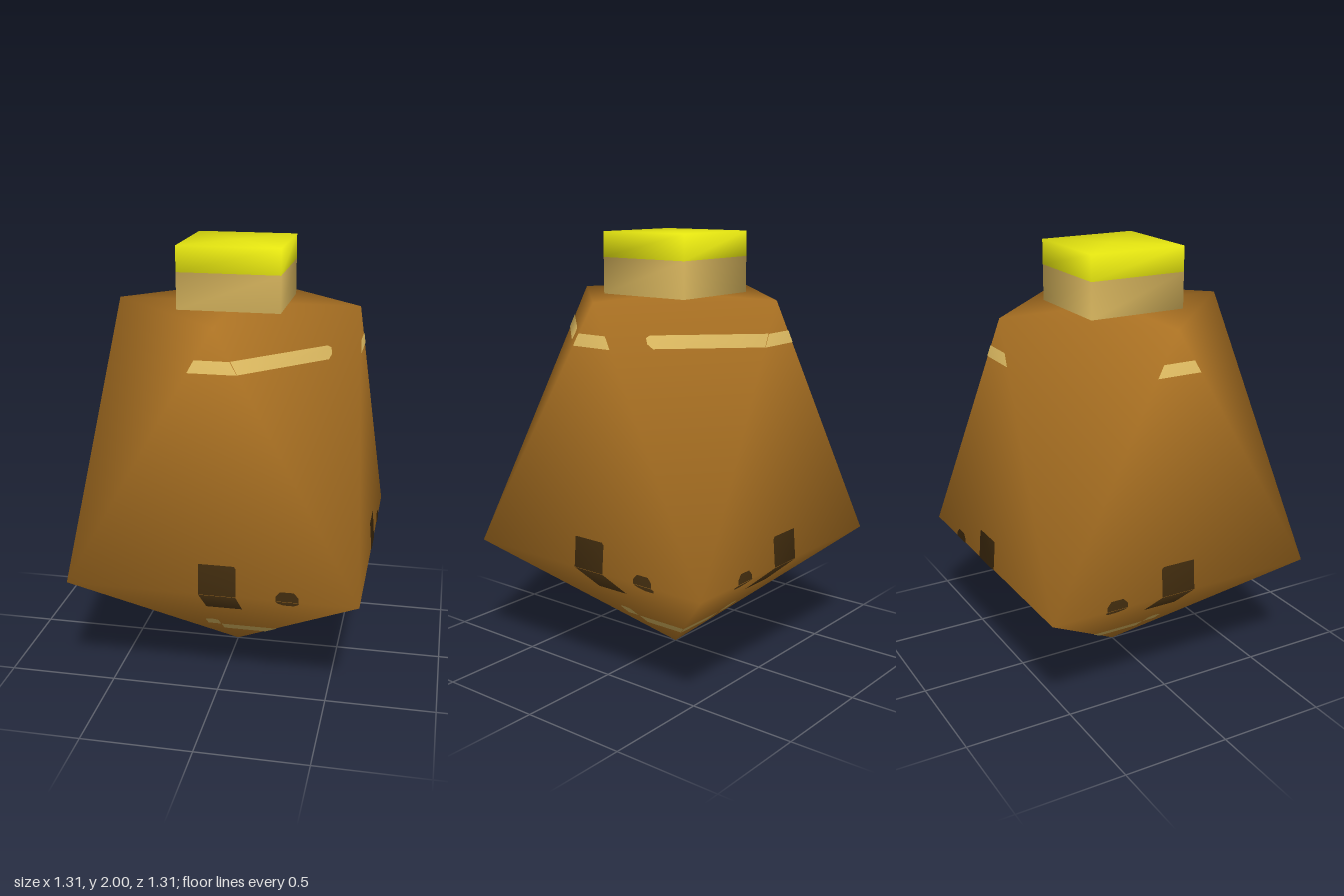
import * as THREE from 'three';

const material = (name, color) => {
  const m = new THREE.MeshStandardMaterial({ color });
  m.name = name;
  return m;
};

function indexed(vertices, index) {
  const g = new THREE.BufferGeometry();
  g.setAttribute('position', new THREE.Float32BufferAttribute(vertices.flat(), 3));
  g.setIndex(index);
  g.computeVertexNormals();
  return g;
}

// Body: square shoulder ring 0-3, top diamond 4-7, bottom tip 8, top centre 9
function bodyGeometry() {
  const s = 0.65, t = 0.557, low = 0.56, high = 1.72;
  const vertices = [
    [s, low, s], [s, low, -s], [-s, low, -s], [-s, low, s],
    [t, high, 0], [0, high, -t], [-t, high, 0], [0, high, t],
    [0, 0, 0], [0, high, 0],
  ];
  const index = [];
  for (let i = 0; i < 4; i++) {
    const next = (i + 1) % 4, prev = (i + 3) % 4;
    index.push(i, next, 4 + i);            // flat side
    index.push(i, 4 + i, 4 + prev);        // corner side
    index.push(8, next, i);                // tip
    index.push(9, 4 + i, 4 + next);        // top
  }
  return indexed(vertices, index);
}

// Stem: three square rings, yellow above the middle ring
function stemGeometry() {
  const r = 0.232;
  const vertices = [];
  for (const y of [1.72, 1.885, 2]) {
    vertices.push([r, y, r], [r, y, -r], [-r, y, -r], [-r, y, r]);
  }
  vertices.push([0, 2, 0]);
  const index = [];
  for (const base of [0, 4]) {
    for (let i = 0; i < 4; i++) {
      const a = base + i, b = base + (i + 1) % 4;
      index.push(a, b, b + 4, a, b + 4, a + 4);
    }
  }
  for (let i = 0; i < 4; i++) index.push(12, 8 + i, 8 + (i + 1) % 4);
  const g = indexed(vertices, index);
  g.addGroup(0, 24, 0);
  g.addGroup(24, 36, 1);
  return g;
}

// Painted patch: an outline in x, y laid on one triangle of the body,
// taking over the smooth normals of that triangle
function patchGeometry(body, triangle, outline) {
  const read = (name) => triangle.map((i) =>
    new THREE.Vector3().fromBufferAttribute(body.attributes[name], i));
  const [a, b, c] = read('position');
  const normals = read('normal');
  const lift = new THREE.Triangle(a, b, c).getNormal(new THREE.Vector3()).multiplyScalar(0.003);
  const det = (b.y - c.y) * (a.x - c.x) + (c.x - b.x) * (a.y - c.y);
  const positions = [], shading = [], index = [];
  outline.forEach(([x, y], k) => {
    const u = ((b.y - c.y) * (x - c.x) + (c.x - b.x) * (y - c.y)) / det;
    const v = ((c.y - a.y) * (x - c.x) + (a.x - c.x) * (y - c.y)) / det;
    const mix = (p, q, r) => new THREE.Vector3()
      .addScaledVector(p, u).addScaledVector(q, v).addScaledVector(r, 1 - u - v);
    positions.push(...mix(a, b, c).add(lift).toArray());
    shading.push(...mix(...normals).normalize().toArray());
    if (k > 1) index.push(0, k - 1, k);
  });
  const g = new THREE.BufferGeometry();
  g.setAttribute('position', new THREE.Float32BufferAttribute(positions, 3));
  g.setAttribute('normal', new THREE.Float32BufferAttribute(shading, 3));
  g.setIndex(index);
  return g;
}

export function createModel() {
  const model = new THREE.Group();
  model.name = 'spinningTop';
  const brown = material('wood brown', 0xb07524);
  const tan = material('pale tan', 0xdcb960);
  const yellow = material('bright yellow', 0xe4e410);
  const dark = material('dark brown', 0x4c3412);

  const add = (name, geometry, mat) => {
    const mesh = new THREE.Mesh(geometry, mat);
    mesh.name = name;
    model.add(mesh);
  };

  const body = bodyGeometry();
  add('body', body, brown);
  add('stem', stemGeometry(), [tan, yellow]);

  // Front triangles that carry paint
  const wall = [3, 0, 7], tip = [8, 0, 3], corner = [0, 4, 7];
  const marks = [
    ['band', tan, wall, [[-0.106, 1.53], [0.106, 1.53], [0.076, 1.585], [-0.076, 1.585]]],
    ['upperBar', dark, wall, [[-0.05, 0.56], [0.115, 0.56], [0.115, 0.69], [0.105, 0.7], [-0.05, 0.7]]],
    ['lowerBar', dark, tip, [[-0.05, 0.425], [0.115, 0.425], [0.115, 0.56], [-0.05, 0.56]]],
    ['upperDot', dark, wall, [[0.29, 0.56], [0.39, 0.56], [0.39, 0.58], [0.37, 0.603], [0.31, 0.603], [0.29, 0.58]]],
    ['lowerDot', dark, tip, [[0.29, 0.56], [0.295, 0.54], [0.32, 0.522], [0.365, 0.522], [0.39, 0.545], [0.39, 0.56]]],
    ['tipHook', tan, tip, [[-0.1, 0.2], [-0.038, 0.2], [-0.038, 0.25], [-0.055, 0.26], [-0.085, 0.26], [-0.1, 0.25]]],
    ['tipBand', tan, tip, [[-0.035, 0.145], [0.168, 0.145], [0.232, 0.2], [-0.035, 0.2]]],
  ];
  const cornerBand = ['cornerBand', tan, corner,
    [[0.106, 1.53], [0.445, 1.53], [0.455, 1.55], [0.45, 1.575], [0.435, 1.585], [0.076, 1.585]]];

  // The front and left sides are mirrored to the back and right
  const turn = new THREE.Matrix4().makeRotationY(Math.PI / 2);
  const flipX = new THREE.Matrix4().makeScale(-1, 1, 1);
  const flipZ = new THREE.Matrix4().makeScale(1, 1, -1);
  const sides = [
    ['front', new THREE.Matrix4(), [...marks, cornerBand]],
    ['back', flipZ, [...marks, cornerBand]],
    ['left', turn, marks],
    ['right', flipX.clone().multiply(turn), marks],
  ];
  for (const [side, matrix, list] of sides) {
    for (const [name, mat, triangle, outline] of list) {
      const g = patchGeometry(body, triangle, outline);
      g.applyMatrix4(matrix);
      if (matrix.determinant() < 0) g.setIndex([...g.index.array].reverse());
      add(`${side} ${name}`, g, mat);
    }
  }
  return model;
}
